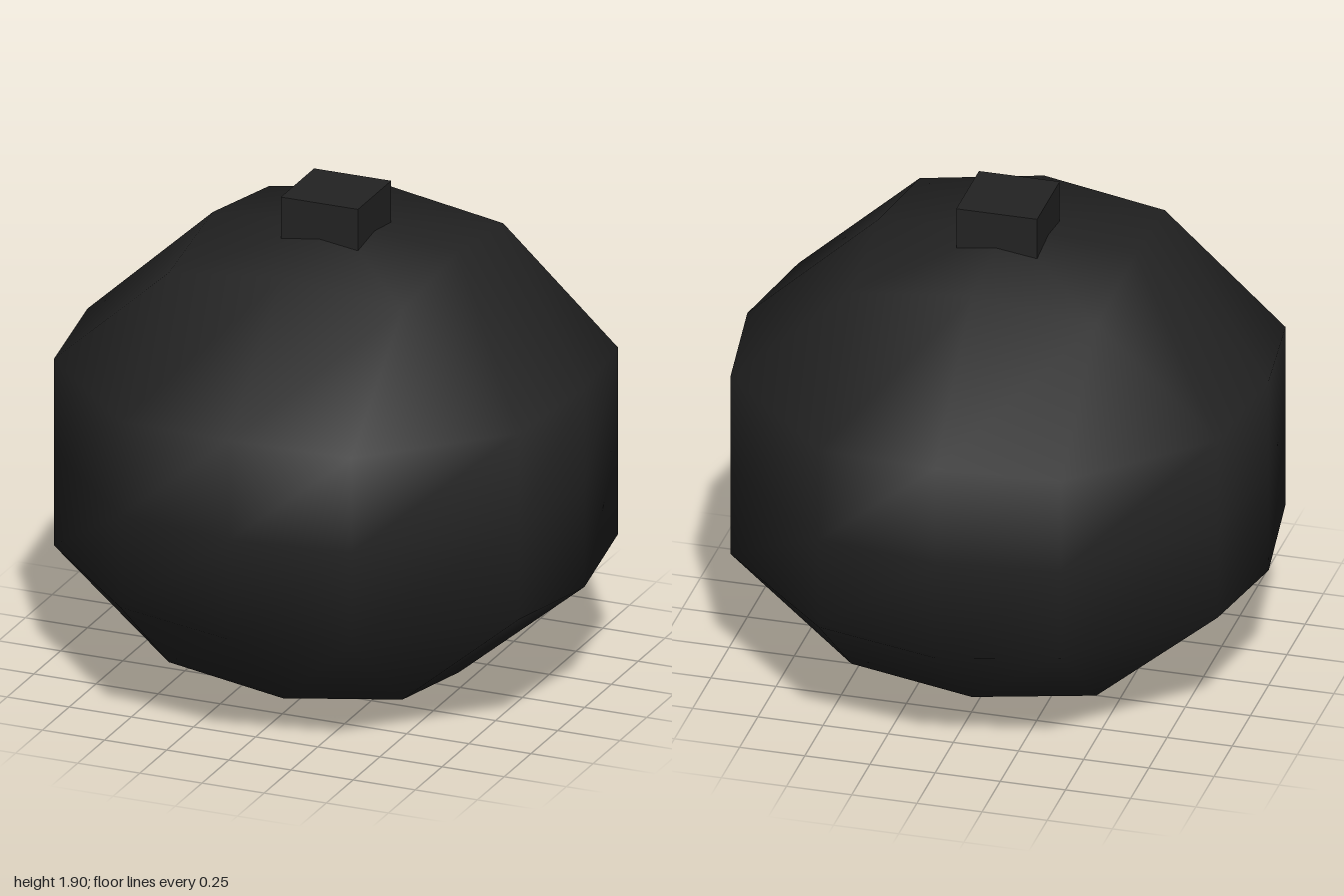
import * as THREE from 'three';
import { mergeVertices } from 'three/addons/utils/BufferGeometryUtils.js';

// One 12-point ring: a quarter (axis point and two corner points) turned four times.
// Each quarter point is [x, y, z].
function ring(axis, cornerA, cornerB) {
  const points = [];
  for (let q = 0; q < 4; q++) {
    for (const [px, y, pz] of [axis, cornerA, cornerB]) {
      let x = px, z = pz;
      for (let k = 0; k < q; k++) [x, z] = [-z, x];
      points.push([x, y, z]);
    }
  }
  return points;
}

const pole = (y) => ring([0, y, 0], [0, y, 0], [0, y, 0]);
const cap = (yMid, yCorner) => ring([0.495, yMid, 0], [0.47, yCorner, 0.47], [0.47, yCorner, 0.47]);
const side = (yMid, yCorner) => ring([1, yMid, 0], [0.935, yCorner, 0.465], [0.465, yCorner, 0.935]);

// Rounded cube-like ball lofted from bottom pole to top pole
function ballGeometry() {
  const rings = [
    pole(0), cap(0.06, 0.12), side(0.48, 0.51), side(0.875, 0.875),
    side(1.27, 1.25), cap(1.735, 1.67), pole(1.775),
  ];
  const n = 12;
  const index = [];
  for (let i = 0; i < rings.length - 1; i++) {
    for (let j = 0; j < n; j++) {
      const a = i * n + j, b = i * n + ((j + 1) % n);
      if (i > 0) index.push(b, a, a + n);
      if (i < rings.length - 2) index.push(b, a + n, b + n);
    }
  }
  // bottom fan
  for (let j = 0; j < n; j++) {
    if (j % 3 === 1) index.splice(0, 0); // shared corner point needs no extra face
  }
  const geometry = new THREE.BufferGeometry();
  geometry.setAttribute('position', new THREE.Float32BufferAttribute(rings.flat(2), 3));
  geometry.setIndex(index);
  const merged = mergeVertices(geometry, 1e-4);
  merged.computeVertexNormals();
  return merged;
}

export function createModel() {
  const group = new THREE.Group();
  group.name = 'ball';
  const black = new THREE.MeshStandardMaterial({ color: 0x232323 });
  black.name = 'matte black';

  const body = new THREE.Mesh(ballGeometry(), black);
  body.name = 'body';
  group.add(body);

  // Square plug on top
  const plug = new THREE.Mesh(new THREE.BoxGeometry(0.31, 0.25, 0.31), black);
  plug.name = 'plug';
  plug.position.y = 1.78;
  group.add(plug);
  return group;
}
